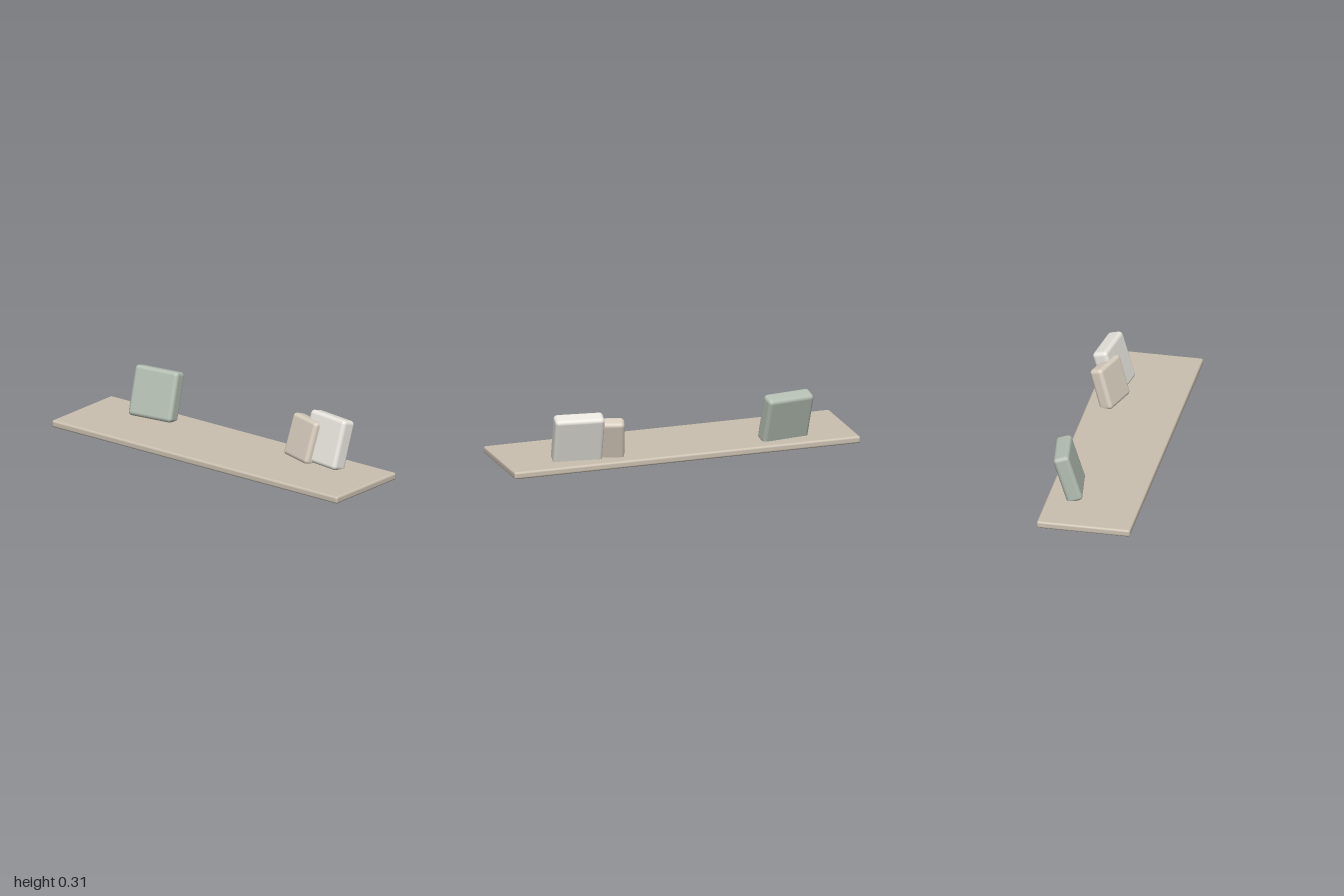
import * as THREE from 'three';
import { RoundedBoxGeometry } from 'three/addons/geometries/RoundedBoxGeometry.js';

const LEAN = -0.3; // backward tilt shared by all cushions

function roundedBox(name, [w, h, d], radius, color) {
  const mesh = new THREE.Mesh(
    new RoundedBoxGeometry(w, h, d, 5, radius),
    new THREE.MeshStandardMaterial({ color })
  );
  mesh.name = name;
  return mesh;
}

export function createModel() {
  const model = new THREE.Group();
  model.name = 'benchSeatWithCushions';

  // Long thin seat board
  const board = roundedBox('seatBoard', [2, 0.04, 0.52], 0.012, 0xcbc0b0);
  board.position.y = 0.02;
  model.add(board);

  // Cushions lean back and turn inwards; lower back edges sink into the board
  const cushions = [
    { name: 'greenCushion', size: [0.275, 0.28, 0.09], at: [-0.602, 0.167, -0.159], yaw: 0.14, color: 0xb4beb2 },
    { name: 'whiteCushion', size: [0.275, 0.28, 0.09], at: [0.6, 0.167, -0.157], yaw: -0.14, color: 0xe8e5de },
    { name: 'beigeCushion', size: [0.225, 0.24, 0.08], at: [0.447, 0.143, -0.148], yaw: -0.3, color: 0xd8cdbe },
  ];
  for (const { name, size, at, yaw, color } of cushions) {
    const cushion = roundedBox(name, size, 0.022, color);
    cushion.position.set(...at);
    cushion.rotation.set(LEAN, yaw, 0, 'YXZ');
    model.add(cushion);
  }

  return model;
}
